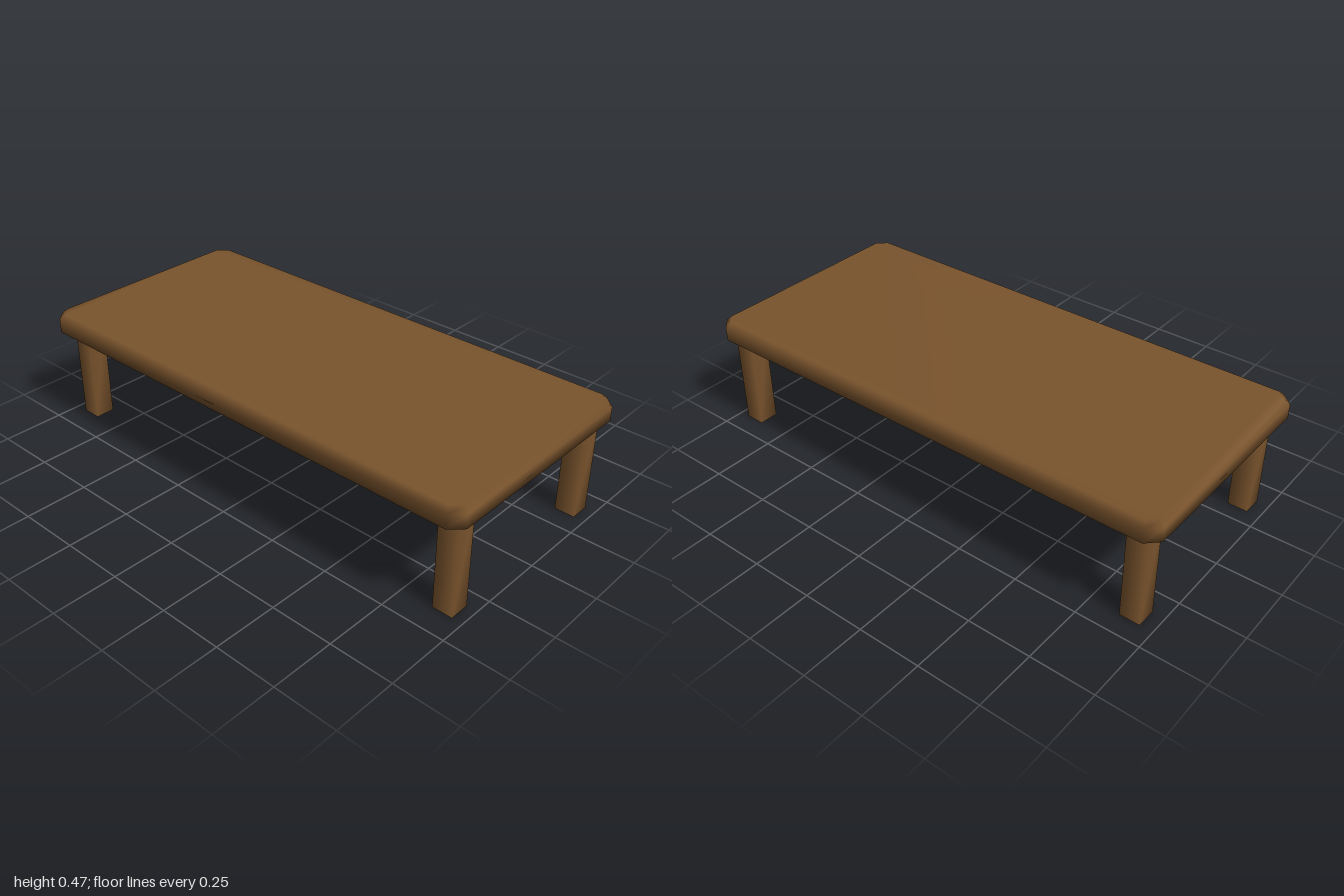
import * as THREE from 'three';
import { mergeVertices } from 'three/addons/utils/BufferGeometryUtils.js';

const wood = new THREE.MeshStandardMaterial({ color: 0x7a542d });

// Rectangle with cut corners, counter-clockwise seen from above
function octagon(hx, hz, y, cut) {
  const a = hx - cut, b = hz - cut;
  return [[a, -hz], [-a, -hz], [-hx, -b], [-hx, b], [-a, hz], [a, hz], [hx, b], [hx, -b]]
    .map(([x, z]) => [x, y, z]);
}

// Closed solid through a stack of loops, with shared vertices for soft shading
function loft(loops) {
  const n = loops[0].length, last = (loops.length - 1) * n, index = [];
  for (let r = 0; r < last; r += n) {
    for (let i = 0; i < n; i++) {
      const a = r + i, b = r + (i + 1) % n;
      index.push(a, b, b + n, a, b + n, a + n);
    }
  }
  for (let i = 1; i < n - 1; i++) {
    index.push(0, i + 1, i, last, last + i, last + i + 1);
  }
  const g = new THREE.BufferGeometry();
  g.setAttribute('position', new THREE.Float32BufferAttribute(loops.flat(2), 3));
  g.setIndex(index);
  g.computeVertexNormals();
  return g;
}

// Box whose corners share one normal
function softBox(w, h, d) {
  const box = new THREE.BoxGeometry(w, h, d);
  box.deleteAttribute('normal');
  box.deleteAttribute('uv');
  const g = mergeVertices(box);
  g.computeVertexNormals();
  return g;
}

export function createModel() {
  const table = new THREE.Group();
  table.name = 'table';

  // Slab with cut corners and a bevelled upper edge
  const top = new THREE.Mesh(loft([
    octagon(0.465, 1, 0.39, 0.045),
    octagon(0.465, 1, 0.445, 0.045),
    octagon(0.445, 0.98, 0.465, 0.036),
  ]), wood);
  top.name = 'tableTop';
  table.add(top);

  // Four square legs, set slightly off centre
  const legGeometry = softBox(0.08, 0.39, 0.08);
  for (const [side, x] of [['Left', 0.378], ['Right', -0.358]]) {
    for (const [end, z] of [['front', 0.918], ['back', -0.91]]) {
      const leg = new THREE.Mesh(legGeometry, wood);
      leg.name = `${end}${side}Leg`;
      leg.position.set(x, 0.195, z);
      table.add(leg);
    }
  }
  return table;
}
